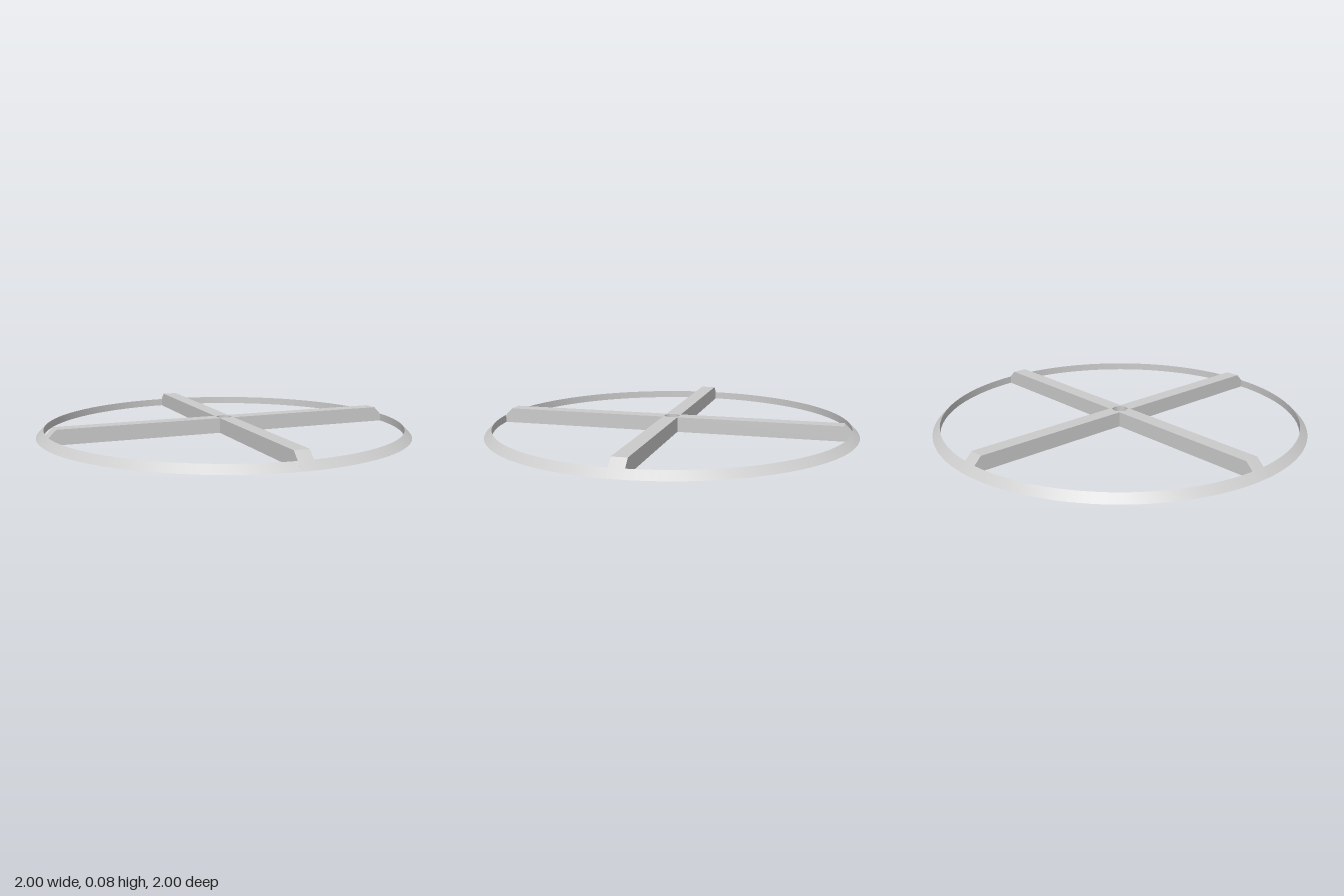
import * as THREE from 'three';
import { toCreasedNormals } from 'three/addons/utils/BufferGeometryUtils.js';

const HALF = 0.04;    // half width of a spoke
const HEIGHT = 0.08;  // spoke height
const RIM = 0.04;     // rim width and height

export function createModel() {
  const model = new THREE.Group();
  model.name = 'spokedRing';
  const material = new THREE.MeshStandardMaterial({ color: 0xcccccc });

  const add = (name, geometry) => {
    const mesh = new THREE.Mesh(toCreasedNormals(geometry, 0.5), material);
    mesh.name = name;
    model.add(mesh);
  };

  // Rim: triangular section, swept in four arcs between the spokes
  const section = [[1, 0], [1 - RIM, RIM], [1 - RIM, 0], [1, 0]]
    .map(([r, y]) => new THREE.Vector2(r, y));
  const gap = Math.asin(HALF);
  for (let i = 0; i < 4; i++) {
    add(`rimArc${i + 1}`, new THREE.LatheGeometry(
      section, 32, i * Math.PI / 2 + gap, Math.PI / 2 - 2 * gap));
  }

  // Cross of four spokes with rounded ends and a central bore
  const outline = [];
  const centre = new THREE.Vector2();
  for (let i = 0; i < 4; i++) {
    const angle = i * Math.PI / 2;
    for (let k = -2; k <= 2; k++) {
      const t = k * HALF / 2;
      outline.push(new THREE.Vector2(Math.sqrt(1 - t * t), t).rotateAround(centre, angle));
    }
    outline.push(new THREE.Vector2(HALF, HALF).rotateAround(centre, angle));
  }
  const cross = new THREE.Shape(outline);
  cross.holes.push(new THREE.Path().absarc(0, 0, 0.04, 0, Math.PI * 2, true));
  const spokes = new THREE.ExtrudeGeometry(cross, {
    depth: HEIGHT, bevelEnabled: false, curveSegments: 32,
  });

  // Slope the spoke ends inward along the same 45 degree cone as the rim
  const p = spokes.attributes.position;
  for (let i = 0; i < p.count; i++) {
    const x = p.getX(i), y = p.getY(i), r = 1 - p.getZ(i);
    if (Math.abs(x) > 0.5) p.setX(i, Math.sign(x) * Math.sqrt(r * r - y * y));
    if (Math.abs(y) > 0.5) p.setY(i, Math.sign(y) * Math.sqrt(r * r - x * x));
  }
  spokes.rotateX(-Math.PI / 2);
  add('spokes', spokes);

  return model;
}
